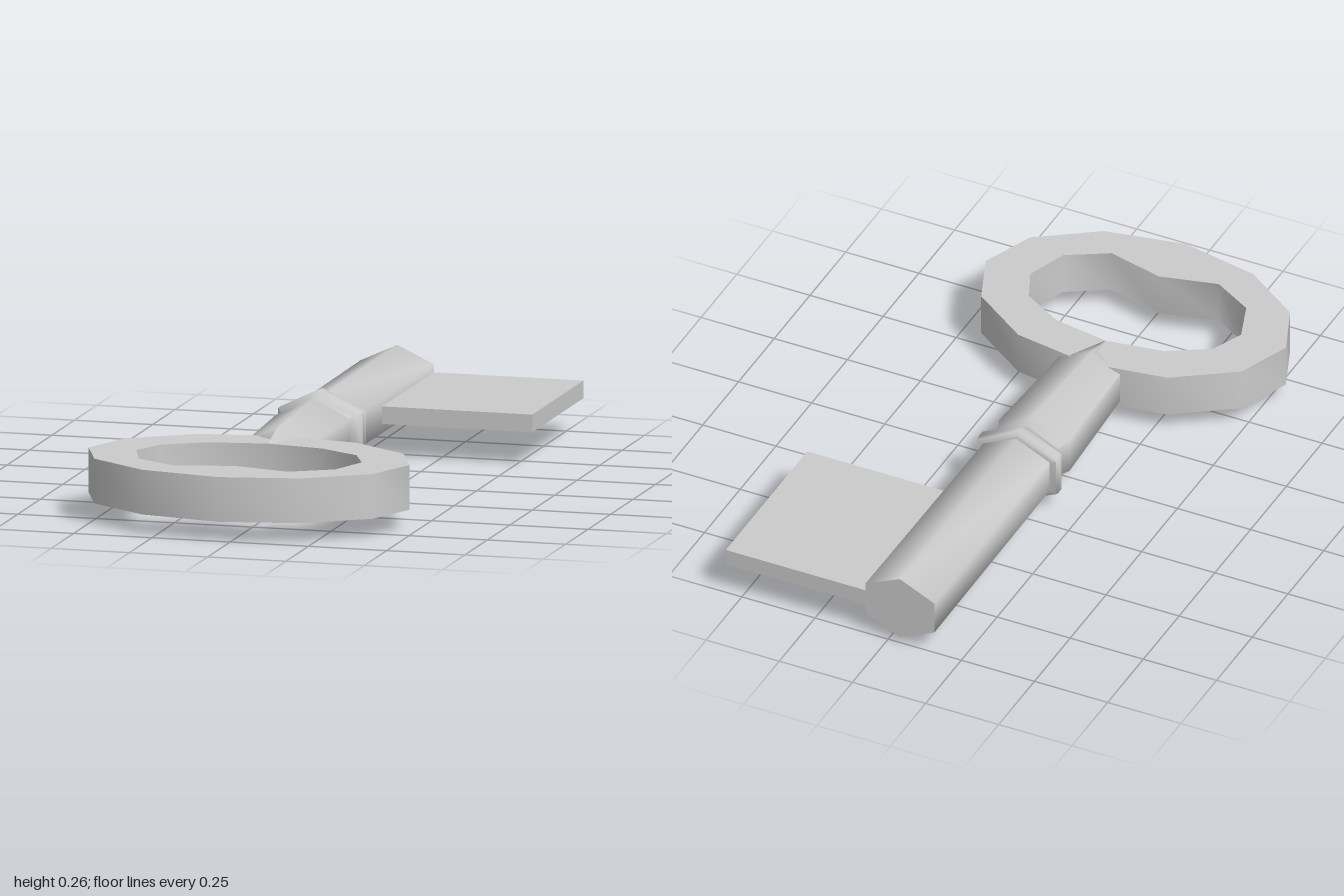
import * as THREE from 'three';
import { toCreasedNormals } from 'three/addons/utils/BufferGeometryUtils.js';

const CX = -0.04, CY = 0.135, SIDES = 6;

// Six-sided loft along z; sections are [z, half width, half height]
function hexLoft(sections) {
  const pos = [], idx = [];
  for (const [z, w, h] of sections) {
    for (let k = 0; k < SIDES; k++) {
      const a = (k / SIDES) * Math.PI * 2;
      pos.push((Math.sin(a) / Math.sin(Math.PI / 3)) * w, Math.cos(a) * h, z);
    }
  }
  for (let i = 0; i < sections.length - 1; i++) {
    for (let k = 0; k < SIDES; k++) {
      const a = i * SIDES + k, b = i * SIDES + (k + 1) % SIDES;
      idx.push(a, a + SIDES, b, b, a + SIDES, b + SIDES);
    }
  }
  for (let k = 1; k < SIDES - 1; k++) idx.push(0, k, k + 1); // tip cap
  const geo = new THREE.BufferGeometry();
  geo.setAttribute('position', new THREE.Float32BufferAttribute(pos, 3));
  geo.setIndex(idx);
  return toCreasedNormals(geo, 1.2);
}

// Closed outline mirrored about x = 0 from a half listed back to front
function mirrored(half) {
  const right = half.map(([x, z]) => new THREE.Vector2(x, z));
  const left = half.slice(1, -1).reverse().map(([x, z]) => new THREE.Vector2(-x, z));
  return [...right, ...left];
}

export function createModel() {
  const group = new THREE.Group();
  const material = new THREE.MeshStandardMaterial({ color: 0xcccccc });
  const add = (name, geo, x, y, z) => {
    const mesh = new THREE.Mesh(geo, material);
    mesh.name = name;
    mesh.position.set(x, y, z);
    group.add(mesh);
  };

  // Shaft with collar, neck and a point that runs into the bow
  add('shaft', hexLoft([
    [-1, 0.118, 0.11],
    [-0.185, 0.113, 0.108],
    [-0.183, 0.135, 0.122],
    [-0.17, 0.135, 0.131],
    [-0.145, 0.135, 0.131],
    [-0.125, 0.118, 0.115],
    [-0.105, 0.104, 0.104],
    [-0.06, 0.12, 0.117],
    [0.33, 0.105, 0.1],
    [0.44, 0.001, 0.071],
  ]), CX, CY, 0);

  // Oval faceted ring with a shallow inward peak at the front of its hole
  const bow = new THREE.Shape(mirrored([
    [0, 0.31], [0.255, 0.35], [0.445, 0.48], [0.513, 0.65],
    [0.445, 0.82], [0.255, 0.95], [0, 1],
  ]));
  bow.holes.push(new THREE.Path(mirrored([
    [0, 0.44], [0.183, 0.47], [0.313, 0.545], [0.36, 0.65],
    [0.313, 0.782], [0.183, 0.857], [0, 0.812],
  ])));
  const bowGeo = new THREE.ExtrudeGeometry(bow, { depth: 0.14, bevelEnabled: false });
  bowGeo.rotateX(Math.PI / 2);
  add('bow', toCreasedNormals(bowGeo, 0.8), CX, 0.205, 0);

  // Flat plate on the left of the shaft tip
  add('bit', new THREE.BoxGeometry(0.535, 0.055, 0.57), 0.2875, 0.1375, -0.715);

  return group;
}
